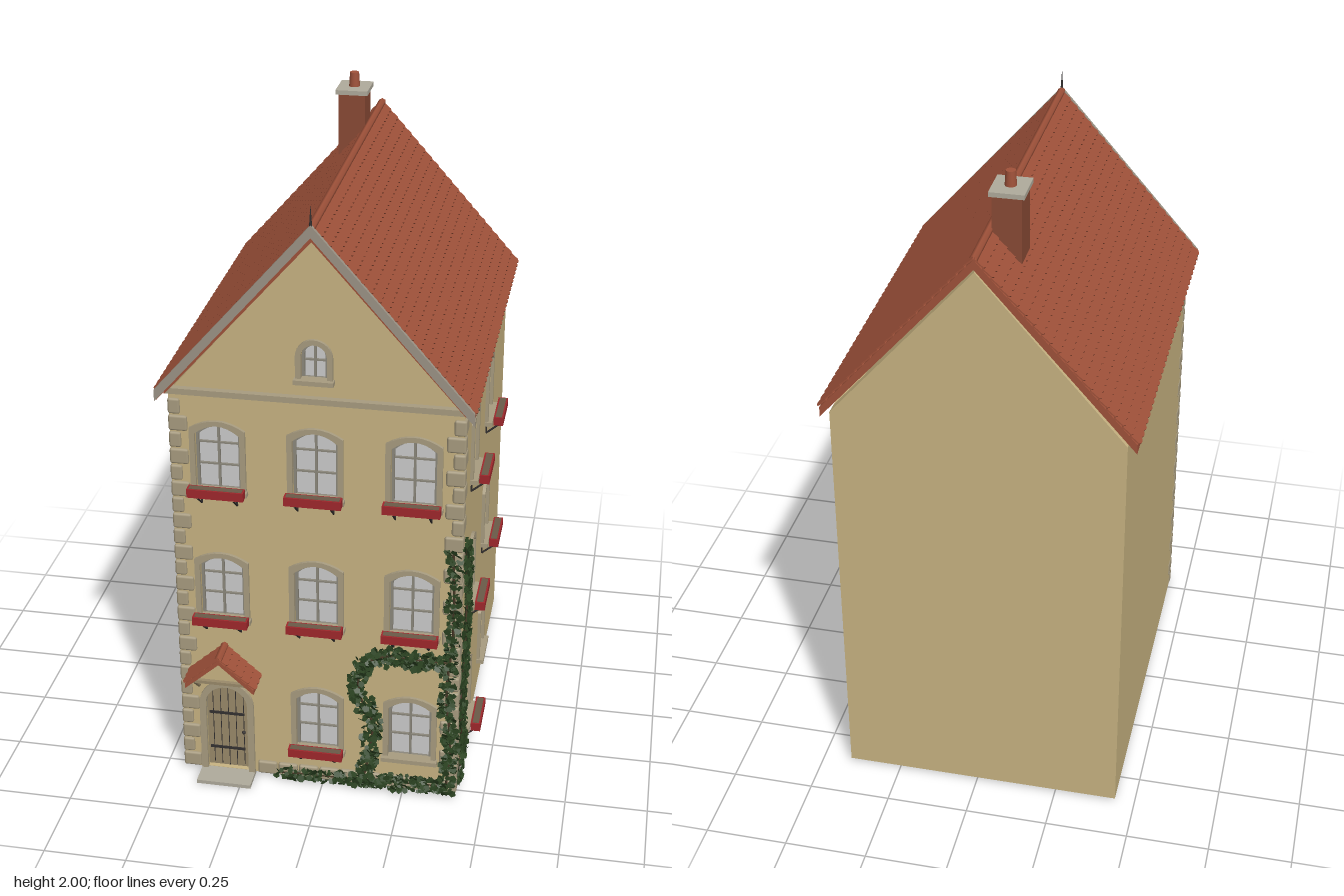
import * as THREE from 'three';
import { mergeGeometries } from 'three/addons/utils/BufferGeometryUtils.js';
import { RoundedBoxGeometry } from 'three/addons/geometries/RoundedBoxGeometry.js';

const mat = (color, extra = {}) => new THREE.MeshStandardMaterial({ color, ...extra });
const M = {
  wall: mat(0xc8b482), stone: mat(0xa89c80), trim: mat(0x9c9486), tile: mat(0xa0523a), brick: mat(0x8a4a35),
  red: mat(0xa0282c), glass: mat(0xc4c4c8), frame: mat(0x8c887c), iron: mat(0x333030), wood: mat(0x9a8a6a),
  cap: mat(0xb0ab9c), floor: mat(0x6b5a48), leaf: mat(0x2c4422, { side: THREE.DoubleSide }), stem: mat(0x4a3a28),
};
const HALF = 0.425, FRONT = 0.53, BACK = -0.61;

let seed = 7;
const rand = () => (seed = (seed * 16807) % 2147483647) / 2147483647;
const spread = (a) => (rand() - 0.5) * 2 * a;

function add(parent, name, geometry, material, x = 0, y = 0, z = 0) {
  const m = new THREE.Mesh(geometry, material);
  m.name = name;
  m.position.set(x, y, z);
  parent.add(m);
  return m;
}
const box = (p, name, m, w, h, d, x, y, z) => add(p, name, new THREE.BoxGeometry(w, h, d), m, x, y, z);
const extrude = (shape, depth) => new THREE.ExtrudeGeometry(shape, { depth, bevelEnabled: false, curveSegments: 8 });
const polygon = (pts) => new THREE.Shape(pts.map(([x, y]) => new THREE.Vector2(x, y)));
function rod(p, name, m, a, b, r) {
  return add(p, name, new THREE.TubeGeometry(new THREE.LineCurve3(new THREE.Vector3(...a), new THREE.Vector3(...b)), 1, r, 6), m);
}

// Arched outline standing on (x, y); a round arch or a shallow one
function arch(w, h, round = false, x = 0, y = 0) {
  const s = new THREE.Shape(), rise = round ? w / 2 : 0.028;
  s.moveTo(x - w / 2, y).lineTo(x + w / 2, y).lineTo(x + w / 2, y + h - rise);
  if (round) s.absarc(x, y + h - rise, w / 2, 0, Math.PI, false);
  else s.quadraticCurveTo(x, y + h + rise, x - w / 2, y + h - rise);
  s.closePath();
  return s;
}
function archRing(w, h, t, round, depth) {
  const s = arch(w + 2 * t, h + t, round);
  s.holes.push(arch(w, h, round, 0, 0.0005));
  return extrude(s, depth);
}

// Window with its origin at the middle of the opening's foot, facing +z
function makeWindow({ w, h, round = false, flowers = false }) {
  const g = new THREE.Group();
  g.name = 'window';
  add(g, 'surround', archRing(w, h, 0.016, round, 0.022), M.stone, 0, 0, -0.012);
  add(g, 'glass', extrude(arch(w, h, round), 0.004), M.glass, 0, 0, -0.024);
  add(g, 'sash', archRing(w - 0.016, h - 0.008, 0.008, round, 0.01), M.frame, 0, 0, -0.02);
  box(g, 'mullion', M.frame, 0.007, h, 0.008, 0, h / 2, -0.016);
  for (const f of round ? [0.5] : [0.36, 0.7]) box(g, 'glazingBar', M.frame, w, 0.005, 0.007, 0, h * f, -0.016);
  box(g, 'sill', M.stone, w + 0.04, 0.014, 0.035, 0, -0.006, 0.006);
  if (flowers) {
    box(g, 'flowerBox', M.red, w + 0.035, 0.027, 0.03, 0, 0.006, 0.042);
    box(g, 'soil', M.floor, w + 0.025, 0.004, 0.02, 0, 0.0185, 0.042);
    for (const s of [-1, 1]) {
      rod(g, 'boxBracket', M.iron, [s * w * 0.4, -0.05, 0.002], [s * w * 0.4, -0.008, 0.052], 0.003);
      rod(g, 'boxBracket', M.iron, [s * w * 0.4, -0.05, 0.002], [s * w * 0.4, -0.005, 0.002], 0.003);
    }
  }
  return g;
}

// Inverted V section between z0 and z1
function chevron(half, yEave, yRidge, t) {
  return polygon([[-half, yEave], [-half, yEave - t], [0, yRidge - t], [half, yEave - t], [half, yEave], [0, yRidge]]);
}

// Gabled roof with overlapping rows of round-ended tiles
function makeRoof(name, half, yEave, yRidge, z0, z1, rows, tileW, t) {
  const g = new THREE.Group();
  g.name = name;
  add(g, 'roofDeck', extrude(chevron(half, yEave, yRidge, t), z1 - z0), M.tile, 0, 0, z0);
  const len = z1 - z0, n = Math.round(len / tileW), step = len / n, rise = yRidge - yEave;
  const slope = Math.hypot(half, rise), rowH = slope / rows, c = half / slope, s = rise / slope;
  const strip = new THREE.Shape();
  strip.moveTo(len / 2, 0).lineTo(-len / 2, 0).lineTo(-len / 2, -rowH);
  for (let i = 0; i < n; i++) {
    const x = -len / 2 + i * step;
    strip.quadraticCurveTo(x + step / 2, -rowH * 1.4, x + step, -rowH);
  }
  strip.closePath();
  const rowGeo = new THREE.ExtrudeGeometry(strip, { depth: 0.004, bevelEnabled: false, curveSegments: 3 }).rotateX(-0.13);
  const basis = new THREE.Matrix4().makeBasis(
    new THREE.Vector3(0, 0, -1), new THREE.Vector3(-c, s, 0), new THREE.Vector3(s, c, 0));
  const parts = [];
  for (let r = 0; r < rows; r++) parts.push(rowGeo.clone().translate(0, -r * rowH, 0).applyMatrix4(basis));
  const slopeGeo = mergeGeometries(parts);
  for (const turn of [0, Math.PI]) add(g, 'tiles', slopeGeo, M.tile, 0, yRidge, (z0 + z1) / 2).rotation.y = turn;
  rod(g, 'ridgeTile', M.tile, [0, yRidge, z0 - 0.004], [0, yRidge, z1 + 0.002], 0.012);
  return g;
}

// Stem along the points, with leaves scattered around it
function makeIvy(points, count, width) {
  const g = new THREE.Group();
  g.name = 'ivy';
  const curve = new THREE.CatmullRomCurve3(points.map((p) => new THREE.Vector3(...p)));
  add(g, 'stem', new THREE.TubeGeometry(curve, 24, 0.004, 5), M.stem);
  const blade = new THREE.CircleGeometry(0.011, 5);
  const leaves = [], dummy = new THREE.Object3D();
  for (let i = 0; i < count; i++) {
    const p = curve.getPoint(rand());
    const side = p.x > HALF - 0.004;
    dummy.position.set(p.x + (side ? rand() * 0.016 - 0.004 : spread(width)), Math.max(0.012, p.y + spread(width)),
      p.z + (side ? spread(width) : rand() * 0.018 - 0.004));
    dummy.rotation.set(spread(0.8), (side ? Math.PI / 2 : 0) + spread(0.8), spread(3), 'YXZ');
    dummy.scale.setScalar(0.6 + rand() * 0.6);
    dummy.updateMatrix();
    leaves.push(blade.clone().applyMatrix4(dummy.matrix));
  }
  add(g, 'leaves', mergeGeometries(leaves), M.leaf);
  return g;
}

export function createModel() {
  const house = new THREE.Group();
  house.name = 'townHouse';
  const body = new THREE.Group();
  body.name = 'building';
  body.position.x = -0.015;
  house.add(body);

  // Window positions: [x, y]; the side list runs along -z
  const floors = [0.13, 0.575, 1.01];
  const frontWindows = [], sideWindows = [];
  floors.forEach((y, f) => {
    for (const x of [-0.285, 0, 0.285]) if (f || x >= 0) frontWindows.push({ x, y, w: 0.132, h: 0.205, flowers: f > 0 || x === 0 });
    for (const x of [-0.28, 0.105]) sideWindows.push({ x, y, w: 0.112, h: 0.192, flowers: f > 0 || x < 0 });
  });
  frontWindows.push({ x: 0, y: 1.385, w: 0.075, h: 0.105, round: true });

  // Walls, hollow and open underneath
  const gable = () => polygon([[-HALF, 0.01], [HALF, 0.01], [HALF, 1.31], [0, 1.8], [-HALF, 1.31]]);
  const frontShape = gable();
  for (const o of frontWindows) frontShape.holes.push(arch(o.w, o.h, o.round, o.x, o.y));
  frontShape.holes.push(arch(0.13, 0.31, true, -0.285, 0.013));
  add(body, 'frontWall', extrude(frontShape, 0.04), M.wall, 0, 0, FRONT - 0.04);
  add(body, 'backWall', extrude(gable(), 0.04), M.wall, 0, 0, BACK);
  const sideShape = polygon([[-FRONT, 0.01], [-BACK, 0.01], [-BACK, 1.31], [-FRONT, 1.31]]);
  for (const o of sideWindows) sideShape.holes.push(arch(o.w, o.h, false, o.x, o.y));
  add(body, 'rightWall', extrude(sideShape, 0.04), M.wall, HALF - 0.04).rotation.y = Math.PI / 2;
  box(body, 'leftWall', M.wall, 0.04, 1.3, FRONT - BACK, -HALF + 0.02, 0.66, (FRONT + BACK) / 2);

  // Interior partition, front floor and stair block
  box(body, 'partition', M.wall, 0.78, 1.29, 0.02, 0, 0.665, 0.2);
  box(body, 'groundFloor', M.floor, 0.78, 0.02, 0.3, 0, 0.025, 0.34);
  box(body, 'stairBlock', M.floor, 0.16, 0.08, 0.2, 0.2, 0.16, 0.09);

  // Windows
  for (const o of frontWindows) {
    const w = makeWindow(o);
    w.position.set(o.x, o.y, FRONT);
    body.add(w);
  }
  for (const o of sideWindows) {
    const w = makeWindow(o);
    w.position.set(HALF, o.y, -o.x);
    w.rotation.y = Math.PI / 2;
    body.add(w);
  }

  // Corner stones and plinth stones
  for (let i = 0; i < 24; i++) {
    const long = i % 2 === 0, w = long ? 0.056 : 0.036, d = long ? 0.036 : 0.062;
    const y = 0.037 + i * 0.0535;
    const geo = new RoundedBoxGeometry(w, 0.049, d, 1, 0.007);
    add(body, 'cornerStone', geo, M.stone, HALF + 0.007 - w / 2, y, FRONT + 0.008 - d / 2);
    add(body, 'cornerStone', geo, M.stone, -HALF - 0.003 + w / 2, y, FRONT + 0.008 - d / 2);
  }
  for (let i = 0; i < 9; i++)
    add(body, 'plinthStone', new RoundedBoxGeometry(0.061, 0.045, 0.03, 1, 0.007), M.stone, -0.16 + i * 0.065, 0.034, FRONT - 0.005);

  // Door with arch, planks, iron straps, step and canopy
  const door = new THREE.Group();
  door.name = 'door';
  door.position.set(-0.285, 0.01, FRONT);
  body.add(door);
  add(door, 'doorSurround', archRing(0.13, 0.31, 0.02, true, 0.025), M.stone, 0, 0, -0.015);
  add(door, 'doorLeaf', extrude(arch(0.13, 0.31, true), 0.01), M.wood, 0, 0, -0.025);
  for (let i = -2; i <= 2; i++) box(door, 'plankJoint', M.iron, 0.002, 0.29 - Math.abs(i) * 0.01, 0.003, i * 0.024, 0.148, -0.015);
  for (const y of [0.07, 0.2]) box(door, 'strapHinge', M.iron, 0.11, 0.008, 0.004, -0.005, y, -0.013);
  add(door, 'doorKnob', new THREE.SphereGeometry(0.006, 8, 6), M.iron, 0.048, 0.135, -0.01);
  box(door, 'doorStep', M.cap, 0.17, 0.012, 0.085, 0, -0.004, 0.035);
  const canopy = makeRoof('doorCanopy', 0.106, 0.375, 0.47, FRONT, 0.617, 5, 0.029, 0.016);
  canopy.position.x = -0.285;
  body.add(canopy);
  for (const s of [-1, 1]) {
    rod(canopy, 'canopyStrut', M.wood, [s * 0.085, 0.315, FRONT + 0.003], [s * 0.085, 0.378, 0.6], 0.005);
    rod(canopy, 'canopyPost', M.wood, [s * 0.085, 0.315, FRONT + 0.004], [s * 0.085, 0.38, FRONT + 0.004], 0.005);
  }
  box(canopy, 'canopyBeam', M.wood, 0.18, 0.01, 0.012, 0, 0.378, 0.598);

  // Main roof, verge boards, band and finial
  body.add(makeRoof('mainRoof', 0.452, 1.325, 1.84, -0.615, 0.558, 20, 0.035, 0.03));
  add(body, 'vergeBoard', extrude(chevron(0.456, 1.33, 1.852, 0.036), 0.012), M.trim, 0, 0, 0.556);
  add(body, 'vergeTrim', extrude(chevron(0.43, 1.335, 1.822, 0.022), 0.03), M.tile, 0, 0, FRONT - 0.005);
  box(body, 'gableBand', M.stone, 0.86, 0.018, 0.03, 0, 1.322, FRONT + 0.005);
  add(body, 'finial', new THREE.ConeGeometry(0.005, 0.07, 6), M.iron, 0, 1.875, 0.562);

  // Chimney
  const chimney = new THREE.Group();
  chimney.name = 'chimney';
  chimney.position.set(-0.05, 0, -0.388);
  body.add(chimney);
  box(chimney, 'stack', M.brick, 0.084, 0.27, 0.1, 0, 1.81, 0);
  box(chimney, 'chimneyCap', M.cap, 0.1, 0.014, 0.114, 0, 1.949, 0);
  add(chimney, 'chimneyPot', new THREE.CylinderGeometry(0.014, 0.017, 0.046, 14), M.tile, 0, 1.977, 0);

  // Climbing ivy on the front and right walls
  const f = FRONT + 0.008, r = HALF + 0.008;
  const front = (pts) => pts.map(([x, y]) => [x, y, f]);
  const side = (pts) => pts.map(([z, y]) => [r, y, z]);
  body.add(
    makeIvy(front([[-0.12, 0.025], [0.1, 0.03], [0.25, 0.035], [0.41, 0.04]]), 420, 0.024),
    makeIvy(front([[0.14, 0.02], [0.16, 0.13], [0.17, 0.25], [0.13, 0.35], [0.14, 0.45], [0.22, 0.495], [0.3, 0.49], [0.4, 0.49]]), 520, 0.028),
    makeIvy(front([[0.4, 0.03], [0.41, 0.2], [0.395, 0.38], [0.41, 0.6], [0.405, 0.87]]), 380, 0.022),
    makeIvy(side([[0.5, 0.03], [0.43, 0.12], [0.46, 0.28], [0.43, 0.48], [0.41, 0.62], [0.45, 0.78], [0.5, 0.87]]), 520, 0.034),
    makeIvy(side([[0.5, 0.15], [0.39, 0.1], [0.46, 0.2], [0.5, 0.35], [0.42, 0.42], [0.385, 0.55], [0.39, 0.7], [0.44, 0.8]]), 420, 0.024),
  );
  return house;
}
